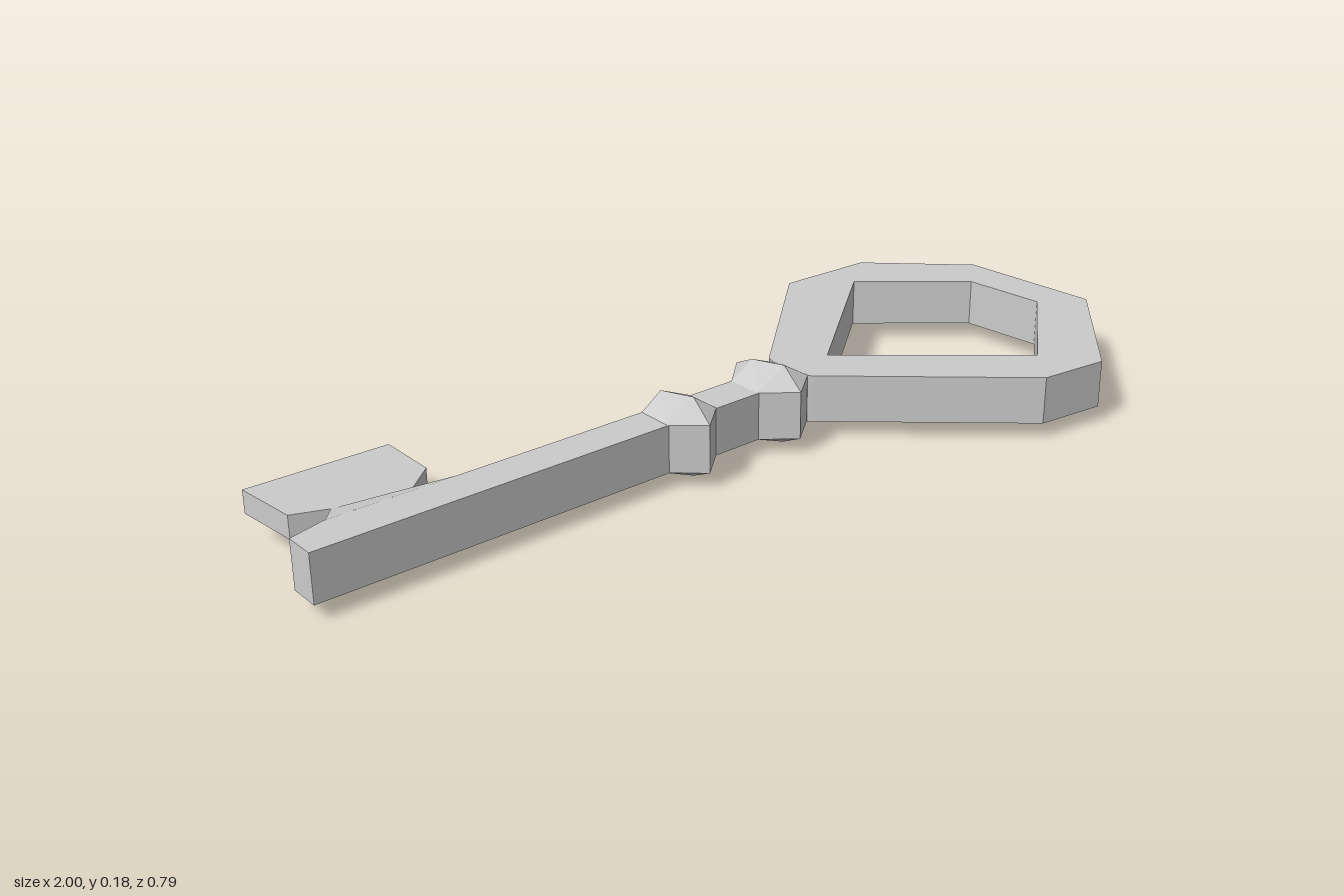
import * as THREE from 'three';
import { ConvexGeometry } from 'three/addons/geometries/ConvexGeometry.js';

const material = new THREE.MeshStandardMaterial({ color: 0xcccccc, flatShading: true });
const LOW = 0.037, HIGH = 0.145; // bottom and top of the flat key body
const MID = (LOW + HIGH) / 2;

// Points are [x, z] pairs seen from above
const toVectors = (points) => points.map(([x, z]) => new THREE.Vector2(x, -z));

function slab(name, outline, low, high, hole) {
  const shape = new THREE.Shape(toVectors(outline));
  if (hole) shape.holes.push(new THREE.Path(toVectors(hole)));
  const geometry = new THREE.ExtrudeGeometry(shape, { depth: high - low, bevelEnabled: false });
  geometry.rotateX(-Math.PI / 2).translate(0, low, 0);
  const mesh = new THREE.Mesh(geometry, material);
  mesh.name = name;
  return mesh;
}

function hull(name, points) {
  const mesh = new THREE.Mesh(new ConvexGeometry(points.map((p) => new THREE.Vector3(...p))), material);
  mesh.name = name;
  return mesh;
}

// Six-sided collar with a short slanted ridge above and below
function collar(name, x, halfWidth, back, front) {
  const rim = [
    [x - halfWidth, -0.05], [x, back], [x + halfWidth, -0.05],
    [x + halfWidth, 0.033], [x, front], [x - halfWidth, 0.033],
  ];
  const ridge = [[x - 0.015, -0.05], [x + 0.015, 0.02]];
  const points = [];
  for (const [px, pz] of rim) points.push([px, LOW, pz], [px, HIGH, pz]);
  for (const [px, pz] of ridge) points.push([px, 0, pz], [px, 0.18, pz]);
  return hull(name, points);
}

export function createModel() {
  const key = new THREE.Group();
  key.name = 'key';

  // Shaft and looped handle share one outline
  const body = [
    [-1, 0.03], [-0.18, 0.035], [0.2, 0.035], [0.21, 0.045],
    [0.58, 0.375], [0.74, 0.395], [1, 0.135], [0.97, -0.195],
    [0.77, -0.387], [0.54, -0.397], [0.2, -0.09], [0.19, -0.05],
    [-0.18, -0.05], [-0.63, -0.055], [-0.92, -0.06], [-1, -0.04],
  ];
  const opening = [[0.31, -0.02], [0.66, 0.28], [0.9, 0.07], [0.88, -0.12], [0.665, -0.303]];
  key.add(slab('shaftAndHandle', body, LOW, HIGH, opening));

  // Decorative collars on the shaft
  key.add(collar('outerCollar', -0.12, 0.065, -0.09, 0.09));
  key.add(collar('innerCollar', 0.13, 0.072, -0.117, 0.09));

  // Thin tooth plate
  const plate = [
    [-0.95, -0.32], [-0.63, -0.31], [-0.63, -0.17],
    [-0.695, -0.115], [-0.86, -0.14], [-0.935, -0.17],
  ];
  const half = 0.026;
  key.add(slab('toothPlate', plate, MID - half, MID + half));

  // Neck tapering from the shaft down to the plate
  const neck = [];
  for (const side of [-1, 1]) {
    const y = MID + side * (HIGH - LOW) / 2;
    neck.push([-0.63, y, -0.055], [-0.915, y, -0.06]);
    neck.push([-0.695, MID + side * half, -0.115], [-0.86, MID + side * half, -0.14]);
  }
  key.add(hull('toothNeck', neck));

  return key;
}
